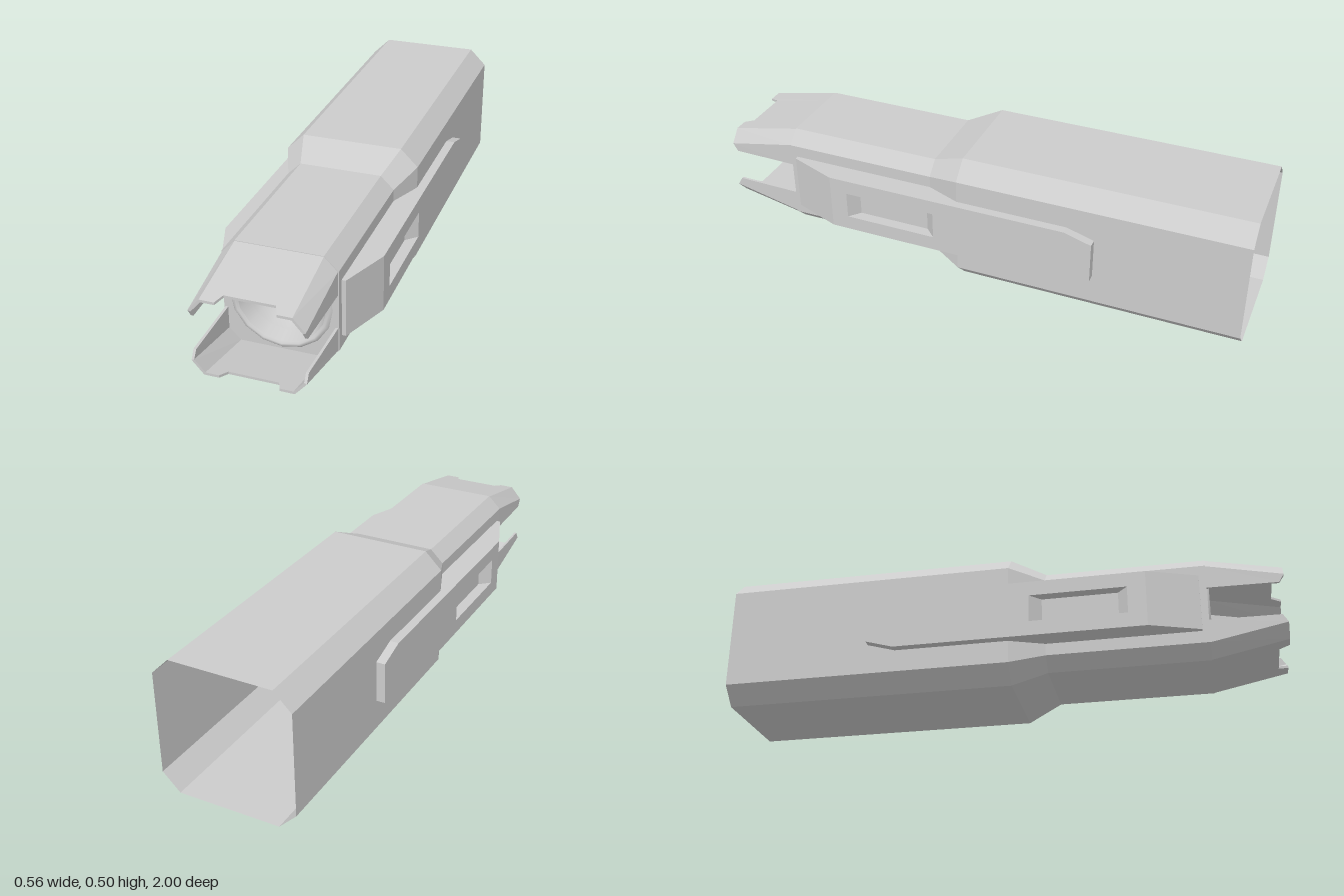
import * as THREE from 'three';

const flat = new THREE.MeshStandardMaterial({ color: 0xcccccc, flatShading: true, side: THREE.DoubleSide });
const smooth = new THREE.MeshStandardMaterial({ color: 0xcccccc, side: THREE.DoubleSide });

function add(parent, name, geometry, material = flat) {
  const mesh = new THREE.Mesh(geometry, material);
  mesh.name = name;
  parent.add(mesh);
  return mesh;
}

// Chamfered rectangle: half sizes w, h and the flat half lengths fw, fh
function octagon(w, h, fw, fh) {
  return [[w, -fh], [w, fh], [fw, h], [-fw, h], [-w, fh], [-w, -fh], [-fw, -h], [fw, -h]];
}

// Skin a list of closed rings, plus any extra quads
function loft(rings, extraQuads = []) {
  const pos = [];
  const quad = (a, b, c, d) => pos.push(...a, ...b, ...c, ...a, ...c, ...d);
  for (let i = 0; i < rings.length - 1; i++) {
    const r = rings[i], s = rings[i + 1], n = r.length;
    for (let j = 0; j < n; j++) quad(r[j], r[(j + 1) % n], s[(j + 1) % n], s[j]);
  }
  extraQuads.forEach(q => quad(...q));
  const g = new THREE.BufferGeometry();
  g.setAttribute('position', new THREE.Float32BufferAttribute(pos, 3));
  g.computeVertexNormals();
  return g;
}

const shapeOf = pts => new THREE.Shape(pts.map(p => new THREE.Vector2(p[0], p[1])));

// Prism from an (x, z) outline, spanning -halfHeight..halfHeight in y
function prismXZ(pts, halfHeight) {
  const g = new THREE.ExtrudeGeometry(shapeOf(pts.map(([x, z]) => [x, -z])), { depth: 2 * halfHeight, bevelEnabled: false });
  return g.rotateX(-Math.PI / 2).translate(0, -halfHeight, 0);
}

// Thin jaw with sloped top, chamfered corners and a notched front edge
function prongGeometry() {
  const t = 0.009;
  const base = [[0.195, 0.062], [0.195, 0.147], [0.15, 0.193], [0.1, 0.193], [0.085, 0.193]];
  const tip = [[0.19, 0.062, 0.982], [0.19, 0.092, 1], [0.15, 0.138, 1], [0.1, 0.138, 1], [0.085, 0.145, 0.965]];
  const full = pts => [...pts, ...pts.slice().reverse().map(([x, y, z]) => [-x, y, z])];
  const inset = pts => pts.map(([x, y, z], i) => [x - (i < 2 ? t : i === 2 ? 0.004 : 0), y - (i === 0 ? 0 : i === 1 ? 0.004 : t), z]);
  const baseZ = base.map(([x, y]) => [x, y, 0.735]);
  const ring = pts => [...full(pts), ...full(inset(pts)).reverse()];
  const outer = full(tip), inner = full(inset(tip)), ends = [];
  for (let k = 0; k < outer.length - 1; k++) ends.push([outer[k], outer[k + 1], inner[k + 1], inner[k]]);
  return loft([ring(baseZ), ring(tip)], ends);
}

function sidePanel() {
  const g = new THREE.Group();
  const h = 0.104, out = 0.28, inn = 0.19;
  // Main plate, drawn as (-z, y) and extruded outwards along +x
  const plate = shapeOf([[-0.53, -h], [0.37, -h], [0.47, -0.075], [0.47, 0.075], [0.37, h], [-0.53, h]]);
  plate.holes.push(new THREE.Path([[-0.465, -0.05], [-0.465, 0.05], [-0.12, 0.05], [-0.12, -0.05]].map(p => new THREE.Vector2(...p))));
  const plateGeo = new THREE.ExtrudeGeometry(plate, { depth: out - inn, bevelEnabled: false });
  plateGeo.rotateY(Math.PI / 2).translate(inn, 0, 0);
  add(g, 'panelPlate', plateGeo);
  // Sloped nose
  add(g, 'panelNose', prismXZ([[inn, 0.53], [out, 0.53], [0.212, 0.71], [inn, 0.71]], h));
  // Recessed slot floor with ramped ends
  add(g, 'panelSlot', prismXZ([[inn, 0.12], [out, 0.12], [0.24, 0.16], [0.24, 0.43], [out, 0.465], [inn, 0.465]], 0.05));
  return g;
}

export function createModel() {
  const model = new THREE.Group();
  const body = new THREE.Group();
  body.name = 'body';
  body.position.y = 0.2475;
  model.add(body);

  // Hollow housing, open at the rear
  const big = octagon(0.248, 0.2475, 0.185, 0.185);
  const small = octagon(0.198, 0.195, 0.15, 0.148);
  const at = (pts, z) => pts.map(([x, y]) => [x, y, z]);
  add(body, 'housing', loft([at(big, -1), at(big, 0.04), at(small, 0.165), at(small, 0.735)]));

  // Front face with a round opening
  const face = shapeOf(small);
  face.holes.push(new THREE.Path().absarc(0, 0, 0.177, 0, Math.PI * 2, true));
  add(body, 'frontFace', new THREE.ShapeGeometry(face, 8).translate(0, 0, 0.735));

  // Rounded lip, socket wall, and dished socket with a domed lens
  const lathe = (name, pts) => add(body, name, new THREE.LatheGeometry(pts.map(p => new THREE.Vector2(...p)), 16).rotateX(Math.PI / 2), smooth);
  lathe('lip', [[0.177, 0.735], [0.17, 0.742], [0.162, 0.742], [0.155, 0.735]]);
  lathe('socketWall', [[0.155, 0.735], [0.14, 0.69]]);
  lathe('socket', [[0.14, 0.69], [0.13, 0.655], [0.115, 0.635], [0.1, 0.63]]);
  const lens = [];
  for (let i = 0; i <= 8; i++) {
    const a = (i / 8) * Math.PI / 2;
    lens.push([0.1 * Math.cos(a), 0.63 + 0.045 * Math.sin(a)]);
  }
  lathe('lens', lens);

  // Upper and lower prongs, left and right panels
  const prong = prongGeometry();
  for (const [turn, row, side] of [[0, 'upper', 'left'], [Math.PI, 'lower', 'right']]) {
    add(body, row + 'Prong', prong).rotation.z = turn;
    const panel = sidePanel();
    panel.name = side + 'Panel';
    panel.rotation.z = turn;
    body.add(panel);
  }
  return model;
}
